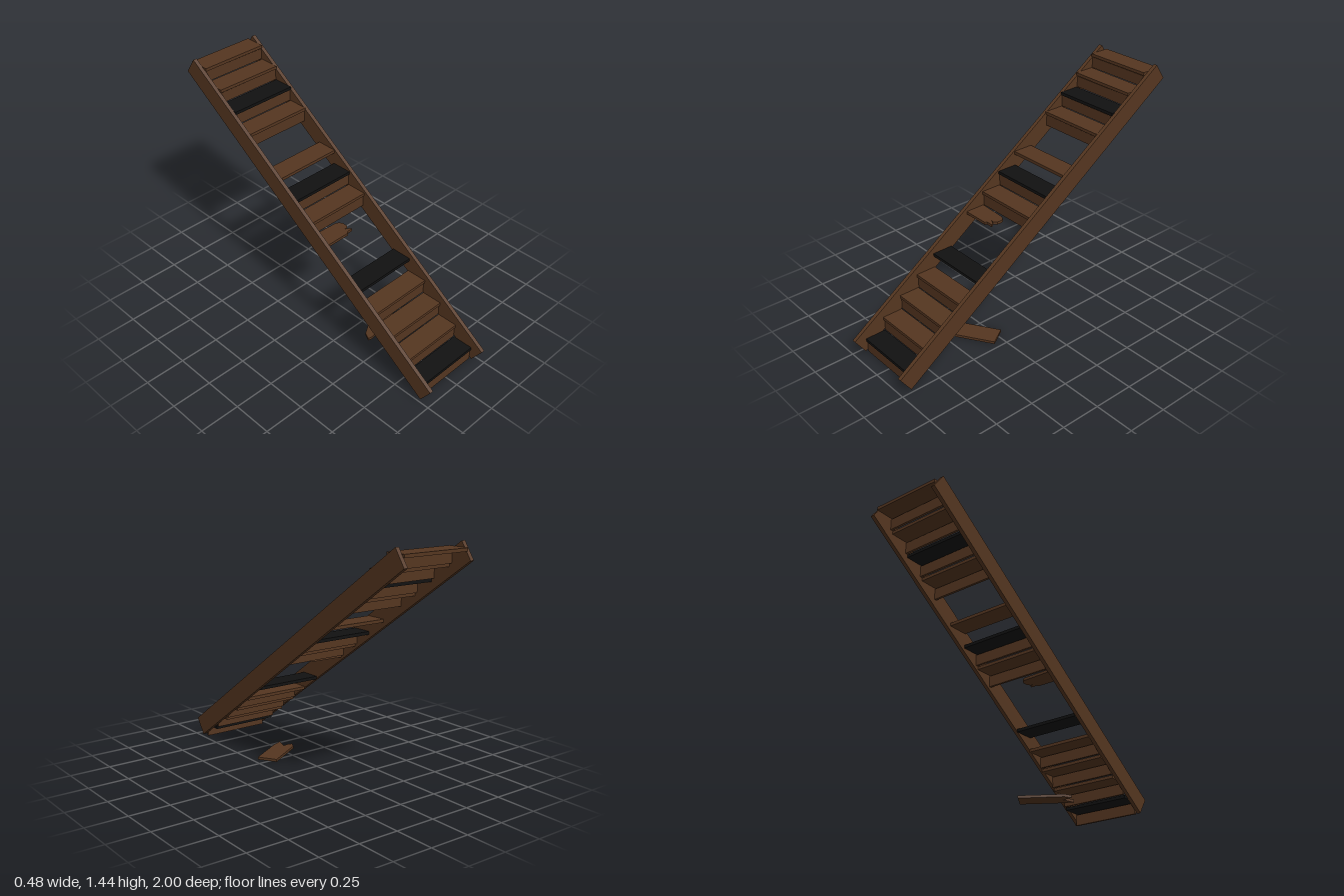
import * as THREE from 'three';

const wood = new THREE.MeshStandardMaterial({ color: 0x553620 });
const black = new THREE.MeshStandardMaterial({ color: 0x111111 });

const WIDTH = 0.432, RISE = 0.0937, RUN = 0.1262, DEPTH = 0.131;

function addBox(parent, name, size, pos, material = wood) {
  const mesh = new THREE.Mesh(new THREE.BoxGeometry(...size), material);
  mesh.name = name;
  mesh.position.set(...pos);
  parent.add(mesh);
  return mesh;
}

// Flat board from an (x, z) outline, its top at y = 0
function addBoard(parent, name, outline, thickness) {
  const shape = new THREE.Shape(outline.map(([x, z]) => new THREE.Vector2(x, z)));
  const geometry = new THREE.ExtrudeGeometry(shape, { depth: thickness, bevelEnabled: false });
  geometry.rotateX(Math.PI / 2);
  const mesh = new THREE.Mesh(geometry, wood);
  mesh.name = name;
  parent.add(mesh);
  return mesh;
}

export function createModel() {
  const model = new THREE.Group();
  model.name = 'brokenStaircase';

  // Sloping side beams
  for (const side of [1, -1]) {
    const name = side > 0 ? 'leftStringer' : 'rightStringer';
    const beam = addBox(model, name, [0.024, 0.118, 2.345], [side * 0.226, 0.727, 0]);
    beam.rotation.x = Math.atan2(1.327, 1.9225);
  }

  // Treads and risers, with some missing and some black
  const noTread = [5, 6, 10];
  const noRiser = [4, 5, 6, 9, 10];
  const blackTreads = [0, 4, 8, 12];
  for (let i = 0; i < 15; i++) {
    const y = 0.088 + RISE * i;
    const front = 0.923 - RUN * i;
    if (!noTread.includes(i)) {
      const tread = addBox(model, 'tread', [WIDTH, 0.019, DEPTH], [0, y, front - DEPTH / 2],
        blackTreads.includes(i) ? black : wood);
      tread.rotation.z = 0.004 * Math.sin(i * 2.3);
    }
    if (!noRiser.includes(i)) {
      addBox(model, 'riser', [WIDTH, 0.068, 0.014], [0, y - 0.049, front - 0.015]);
    }
  }

  // Splintered stub still fixed to the right beam
  const stub = addBoard(model, 'brokenTread', [
    [-0.216, 0.035], [-0.03, 0.045], [-0.01, 0.055], [0, 0.075], [0, 0.105], [-0.015, 0.125],
    [-0.035, 0.12], [-0.005, 0.135], [0, 0.15], [-0.04, 0.15], [-0.045, 0.163], [-0.216, 0.163],
  ], 0.017);
  stub.position.y = 0.662;

  // Broken-off piece lying on the ground
  const fallen = addBoard(model, 'fallenPiece', [
    [0, 0], [0, -0.125], [0.26, -0.125], [0.32, -0.115], [0.285, -0.085],
    [0.255, -0.06], [0.29, -0.045], [0.31, -0.025], [0.27, 0],
  ], 0.016);
  fallen.position.set(0.15, 0.021, 0.21);
  fallen.rotation.y = Math.PI + 0.558;

  return model;
}
